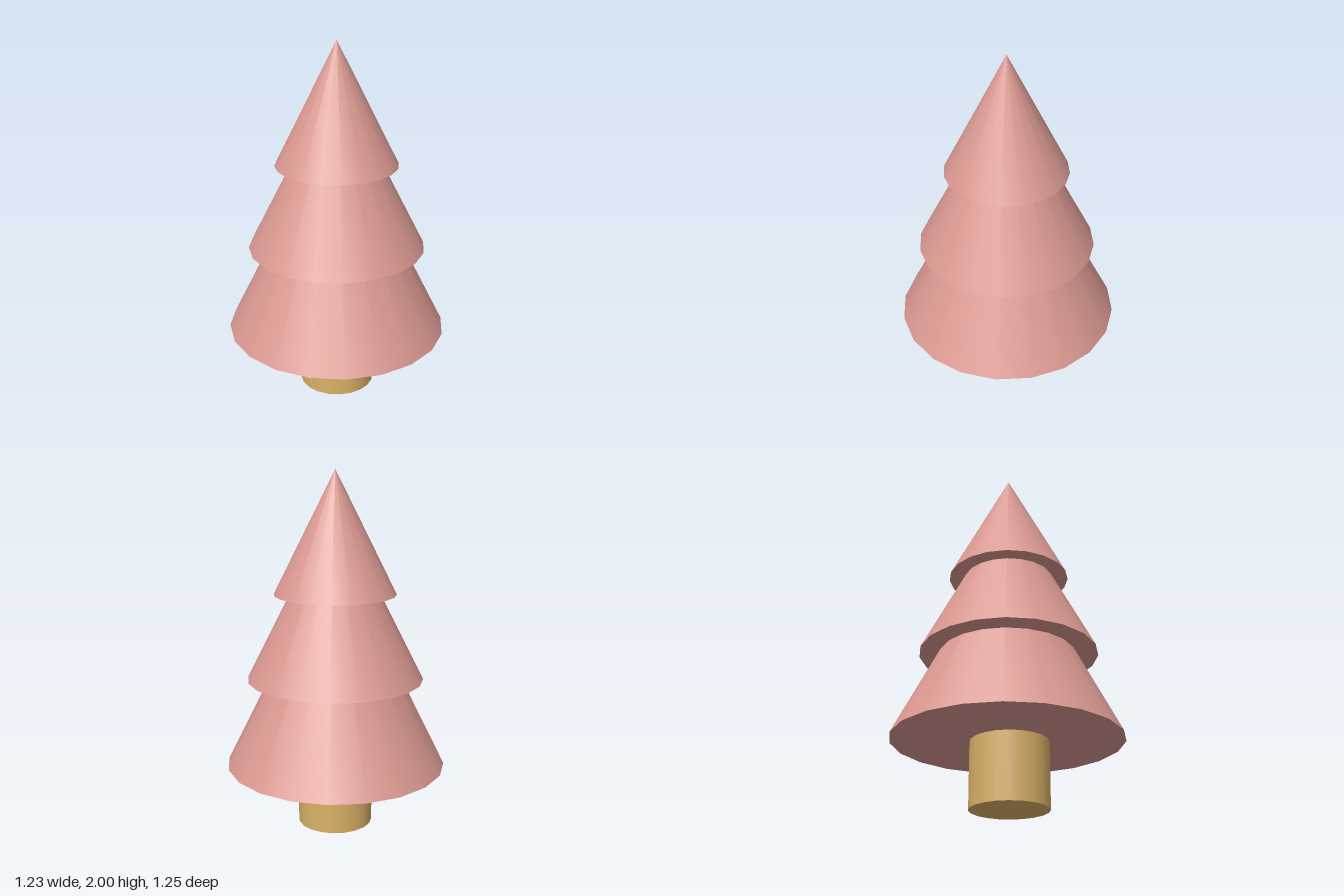
import * as THREE from 'three';

const SIDES = 20;

export function createModel() {
  const tree = new THREE.Group();
  tree.name = 'tree';
  const leafMaterial = new THREE.MeshStandardMaterial({ color: 0xdb9a92 });
  const barkMaterial = new THREE.MeshStandardMaterial({ color: 0xdbb268 });

  // Adds one part whose base sits at the given height
  function addPart(name, geometry, material, baseY, z) {
    const mesh = new THREE.Mesh(geometry, material);
    mesh.name = name;
    mesh.position.set(0, baseY + geometry.parameters.height / 2, z);
    tree.add(mesh);
    return mesh;
  }

  // Trunk, reaching slightly into the lowest tier
  addPart('trunk', new THREE.CylinderGeometry(0.211, 0.211, 0.4, SIDES), barkMaterial, 0, 0.01);

  // Three overlapping foliage tiers: name, radius, base, height, z offset, z stretch
  const tiers = [
    ['lowerFoliage', 0.615, 0.36, 1.235, 0, 1.015],
    ['middleFoliage', 0.492, 0.852, 0.968, 0.006, 1],
    ['upperFoliage', 0.338, 1.328, 0.672, 0.006, 1],
  ];
  for (const [name, radius, baseY, height, z, stretch] of tiers) {
    const cone = new THREE.ConeGeometry(radius, height, SIDES);
    addPart(name, cone, leafMaterial, baseY, z).scale.z = stretch;
  }
  return tree;
}
